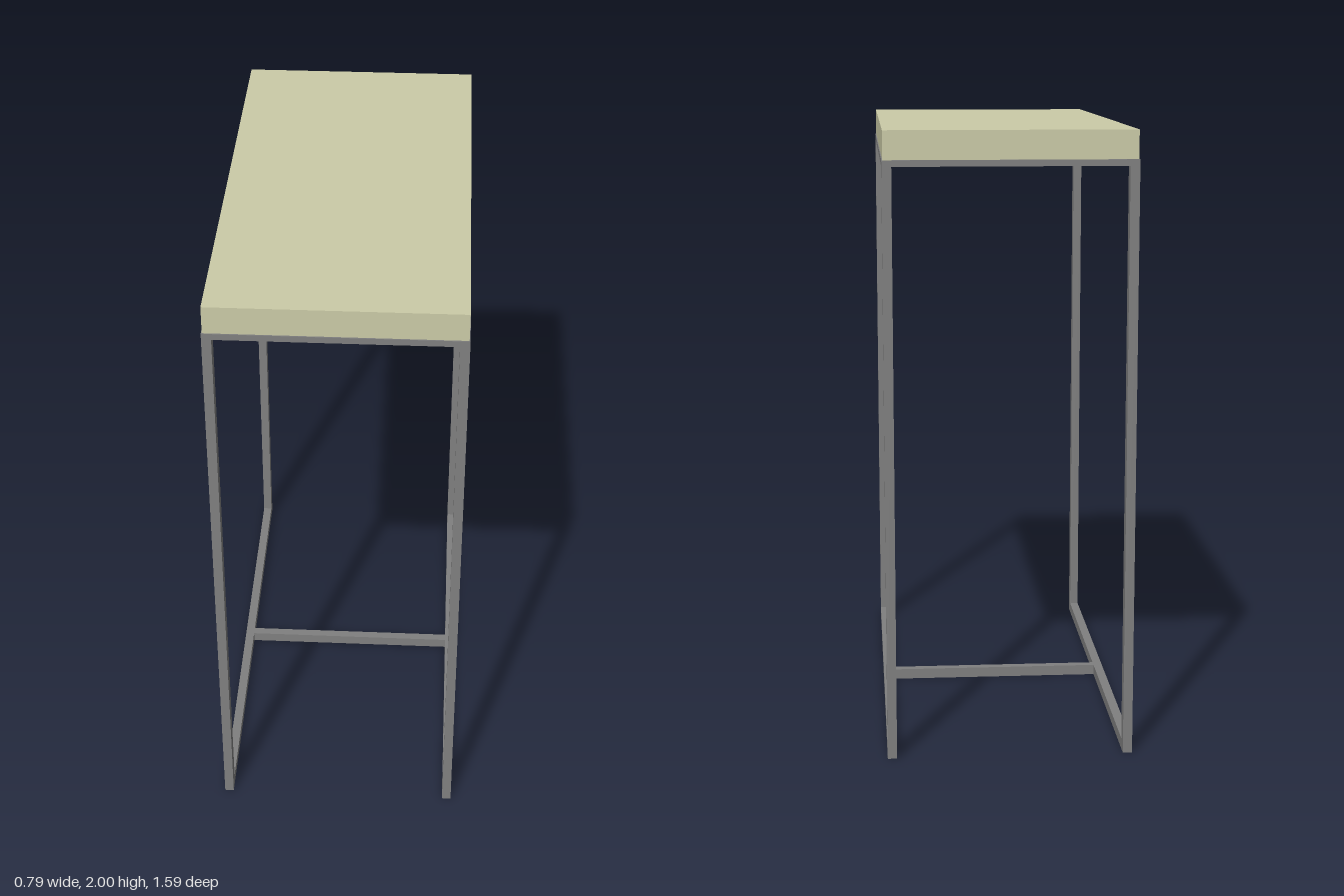
import * as THREE from 'three';

export function createModel() {
  const group = new THREE.Group();
  const steel = new THREE.MeshStandardMaterial({ color: 0x808080 });
  const wood = new THREE.MeshStandardMaterial({ color: 0xcccca8 });

  const X = 0.395, Z = 0.795;        // outer half sizes of the frame
  const LX = 0.03, LZ = 0.04;        // leg section
  const TOP = 1.91;                  // underside of the table top
  const RAIL = 0.02, FOOT = 0.035;   // heights of upper and lower rails

  // box given by its size and the centre of its base
  const box = (name, [w, h, d], [x, y, z], material = steel) => {
    const mesh = new THREE.Mesh(new THREE.BoxGeometry(w, h, d), material);
    mesh.name = name;
    mesh.position.set(x, y + h / 2, z);
    group.add(mesh);
  };

  // Thick slab, slightly inside the frame's outline
  box('tableTop', [2 * X - 0.006, 2 - TOP, 2 * Z - 0.008], [0, TOP, 0], wood);

  for (const sx of [-1, 1]) {
    const side = sx > 0 ? 'left' : 'right';
    const x = sx * (X - LX / 2);
    // Legs
    for (const sz of [-1, 1]) {
      const end = sz > 0 ? 'Front' : 'Back';
      box(`${side}${end}Leg`, [LX, TOP, LZ], [x, 0, sz * (Z - LZ / 2)]);
    }
    // Long rails between the legs
    const length = 2 * (Z - LZ);
    box(`${side}TopRail`, [LX, RAIL, length], [x, TOP - RAIL, 0]);
    box(`${side}FloorRail`, [LX, FOOT, length], [x, 0, 0]);
  }

  // Cross rails under the top and the floor stretcher
  const span = 2 * (X - LX);
  box('frontTopRail', [span, RAIL, LX], [0, TOP - RAIL, Z - LX / 2]);
  box('backTopRail', [span, RAIL, LX], [0, TOP - RAIL, -Z + LX / 2]);
  box('middleTopRail', [span, RAIL, LX], [0, TOP - RAIL, 0]);
  box('floorStretcher', [span, FOOT, LX], [0, 0, 0]);

  return group;
}
